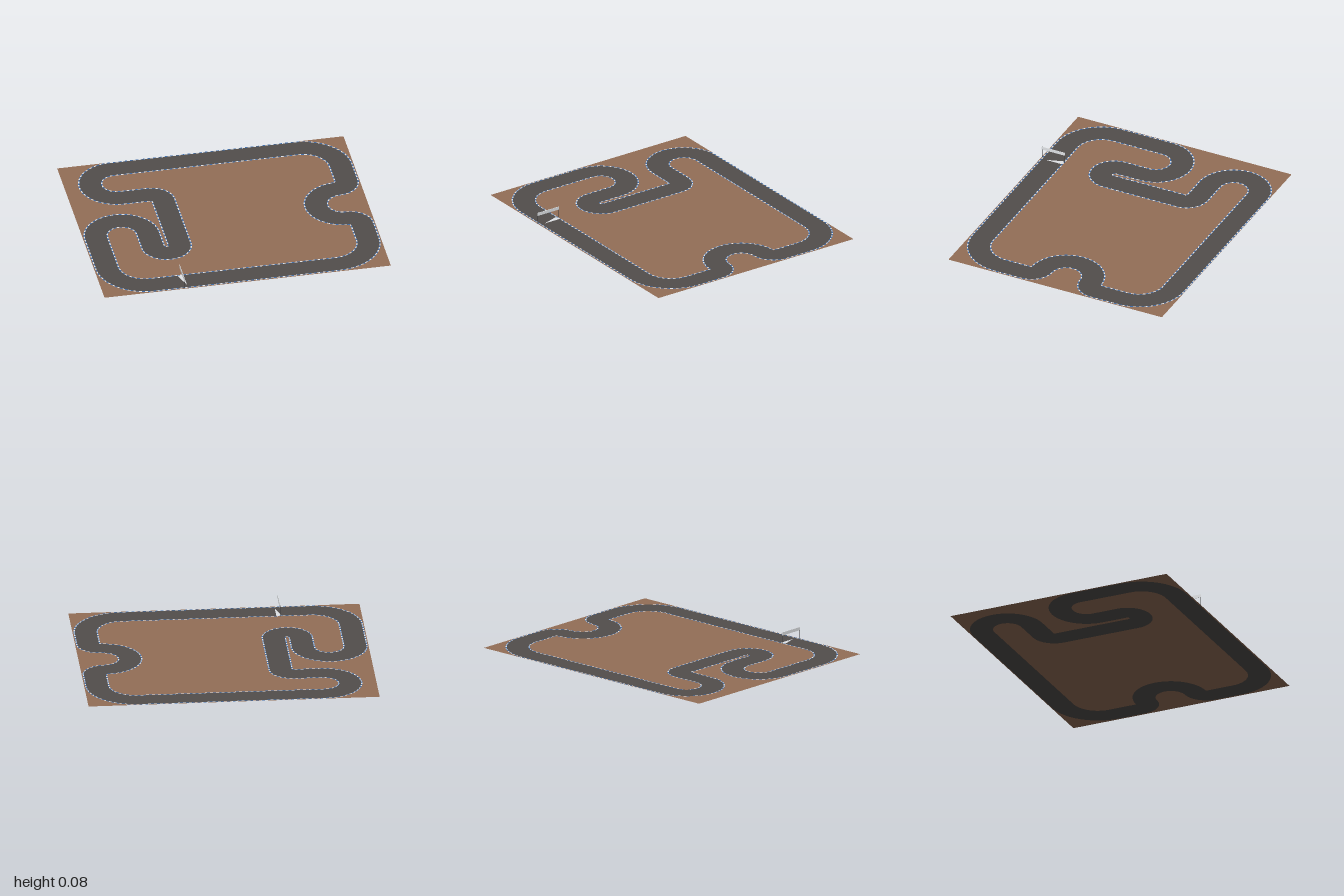
import * as THREE from 'three';

const HALF_WIDTH = 0.079;
const DEPTH = 0.815;

// Bends in driving order: centre x, centre z, radius, start and end in quarter turns.
const BENDS = [
  [0.65, -0.47, 0.26, 3, 4],
  [0.83, -0.265, 0.08, 0, 1],
  [0.83, 0, 0.185, 3, 1],
  [0.83, 0.265, 0.08, 3, 4],
  [0.65, 0.465, 0.26, 0, 1],
  [-0.65, 0.465, 0.26, 1, 2],
  [-0.73, 0.085, 0.18, 2, 4],
  [-0.4575, 0.27, 0.0925, 2, 0],
  [-0.445, -0.29, 0.08, 0, -1],
  [-0.64, -0.55, 0.18, 1, 3],
];

function flat(name, color) {
  const m = new THREE.MeshStandardMaterial({ color, side: THREE.DoubleSide });
  m.name = name;
  return m;
}

// Closed line that runs beside the road's centre; a positive offset lies outside the loop.
function edgeLine(offset) {
  const points = [];
  for (const [cx, cz, r, a0, a1] of BENDS) {
    const radius = Math.max(0.001, r + Math.sign(a1 - a0) * offset);
    const steps = 12 * Math.abs(a1 - a0);
    for (let i = 0; i <= steps; i++) {
      const a = (a0 + (a1 - a0) * i / steps) * Math.PI / 2;
      const p = new THREE.Vector2(cx + radius * Math.cos(a), -(cz + radius * Math.sin(a)));
      if (!points.length || points[points.length - 1].distanceTo(p) > 1e-5) points.push(p);
    }
  }
  return points;
}

// Flat sheet on the floor, from a plan outline with y pointing to the back.
function sheet(name, outline, hole, material, y = 0) {
  const shape = new THREE.Shape(outline);
  if (hole) shape.holes.push(new THREE.Path(hole));
  const mesh = new THREE.Mesh(new THREE.ShapeGeometry(shape).rotateX(-Math.PI / 2), material);
  mesh.name = name;
  mesh.position.y = y;
  return mesh;
}

// Evenly spaced points along a closed line.
function spaced(line, spacing) {
  const path = new THREE.CurvePath();
  line.forEach((p, i) => path.add(new THREE.LineCurve(p, line[(i + 1) % line.length])));
  const count = 2 * Math.round(path.getLength() / spacing / 2);
  return Array.from({ length: count + 1 }, (_, i) => path.getPoint((i % count) / count));
}

// Every second block of a kerb, starting with block number first.
function kerb(name, points, first, material) {
  const pos = [];
  const half = 0.0045;
  for (let i = first; i < points.length - 1; i += 2) {
    const a = points[i], b = points[i + 1];
    const d = b.clone().sub(a).normalize().multiplyScalar(half);
    const corner = (p, s) => [p.x - s * d.y, 0, -(p.y + s * d.x)];
    const [al, ar, bl, br] = [corner(a, 1), corner(a, -1), corner(b, 1), corner(b, -1)];
    pos.push(...ar, ...br, ...bl, ...ar, ...bl, ...al);
  }
  const geo = new THREE.BufferGeometry();
  geo.setAttribute('position', new THREE.Float32BufferAttribute(pos, 3));
  geo.computeVertexNormals();
  const mesh = new THREE.Mesh(geo, material);
  mesh.name = name;
  mesh.position.y = 0.0015;
  return mesh;
}

export function createModel() {
  const model = new THREE.Group();
  model.name = 'raceTrack';

  const earth = flat('earth brown', 0x946f57);
  const asphalt = flat('asphalt grey', 0x524e4c);
  const white = flat('white paint', 0xe8ebee);
  const blue = flat('blue paint', 0x3d6cab);
  const steel = flat('dark steel', 0x3c3c3e);

  const outer = edgeLine(HALF_WIDTH);
  const inner = edgeLine(-HALF_WIDTH);
  const border = [[-1, -DEPTH], [1, -DEPTH], [1, DEPTH], [-1, DEPTH]]
    .map(([x, y]) => new THREE.Vector2(x, y));

  // Ground around the road, the road itself and the infield, side by side
  model.add(
    sheet('outerGround', border, outer, earth),
    sheet('road', outer, inner, asphalt),
    sheet('infield', inner, null, earth),
  );

  // Striped kerbs along both edges
  for (const [name, line] of [['outerKerb', outer], ['innerKerb', inner]]) {
    const points = spaced(line, 0.02);
    model.add(kerb(name + 'White', points, 0, white), kerb(name + 'Blue', points, 1, blue));
  }

  // Tapered start mark on the road
  const mark = [[-0.457, -0.645], [-0.415, -0.775], [-0.415, -0.645]]
    .map(([x, y]) => new THREE.Vector2(x, y));
  model.add(sheet('startMark', mark, null, white, 0.001));

  // Start gate: two slim posts and a flat banner across the road
  const gate = new THREE.Group();
  gate.name = 'startGate';
  gate.position.set(-0.44, 0, 0.726);
  for (const side of [-1, 1]) {
    const post = new THREE.Mesh(new THREE.BoxGeometry(0.002, 0.082, 0.003), steel);
    post.name = side > 0 ? 'frontPost' : 'backPost';
    post.position.set(0, 0.041, side * 0.0875);
    gate.add(post);
  }
  const banner = new THREE.Mesh(new THREE.BoxGeometry(0.003, 0.022, 0.178), white);
  banner.name = 'banner';
  banner.position.y = 0.071;
  gate.add(banner);
  model.add(gate);

  return model;
}
